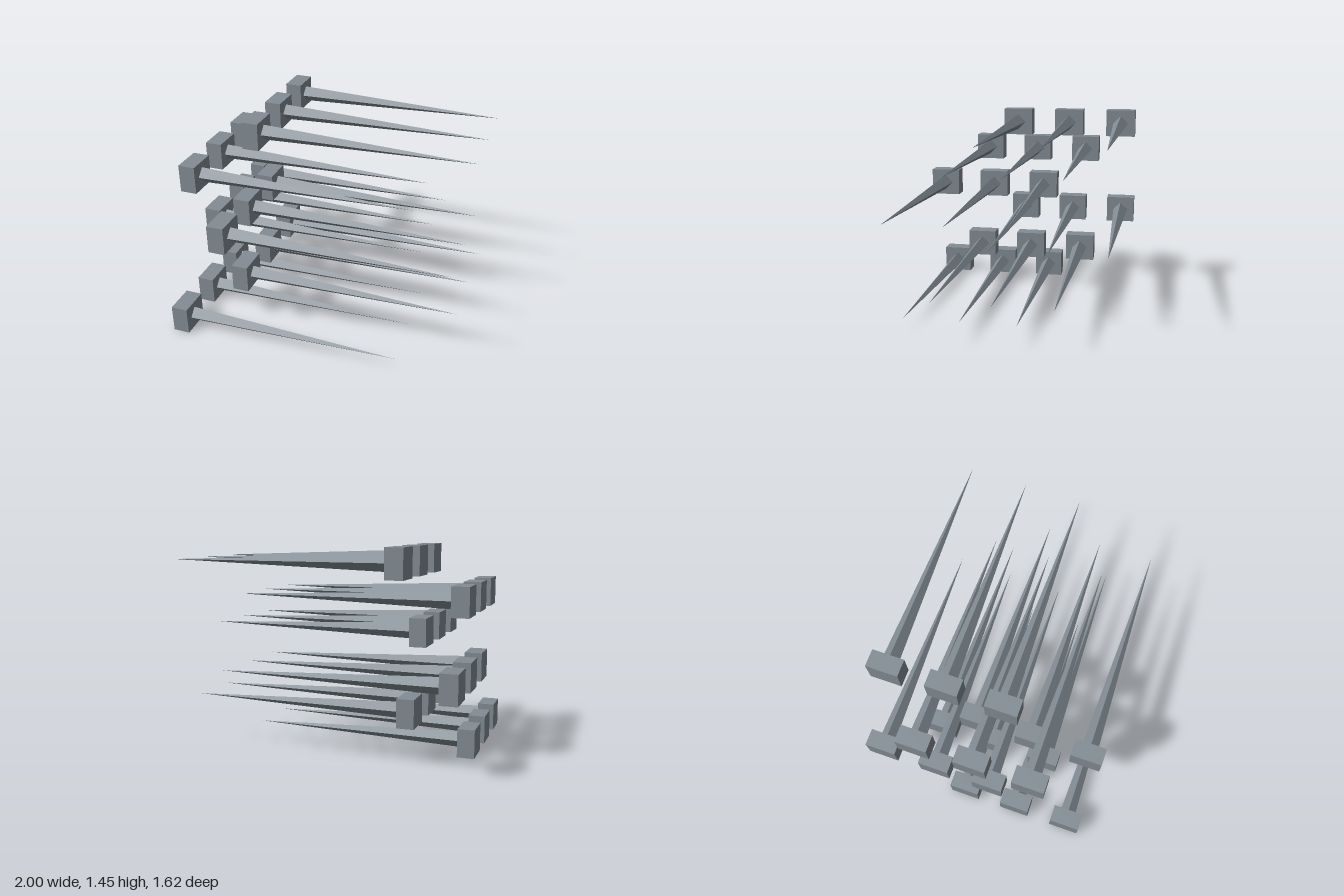
import * as THREE from 'three';

export function createModel() {
  const model = new THREE.Group();
  model.name = 'spikeTrap';
  const steel = new THREE.MeshStandardMaterial({ color: 0x838d94 });
  steel.name = 'steelGrey';

  const baseDepth = 0.12, spikeLength = 1.53;
  const baseGeometry = new THREE.BoxGeometry(baseDepth, 0.2, 0.22);
  baseGeometry.translate(baseDepth / 2, 0, 0);

  // Four-sided spike pointing along +x, edges up, down, front and back
  const spikeGeometry = new THREE.ConeGeometry(0.057, spikeLength, 4).toNonIndexed();
  spikeGeometry.rotateZ(-Math.PI / 2);
  spikeGeometry.translate(baseDepth + spikeLength / 2, 0, 0);
  spikeGeometry.computeVertexNormals();

  // Six staggered rows of three; alternate rows are set forward
  for (let row = 0; row < 6; row++) {
    for (let i = 0; i < 3; i++) {
      const unit = new THREE.Group();
      unit.name = `spikeUnit${row + 1}_${i + 1}`;
      const base = new THREE.Mesh(baseGeometry, steel);
      base.name = 'base';
      const spike = new THREE.Mesh(spikeGeometry, steel);
      spike.name = 'spike';
      unit.add(base, spike);
      unit.position.set(row % 2 ? -0.65 : -1, 0.1 + row * 0.25, 0.7 - (row % 3) * 0.3 - i * 0.4);
      model.add(unit);
    }
  }
  return model;
}
